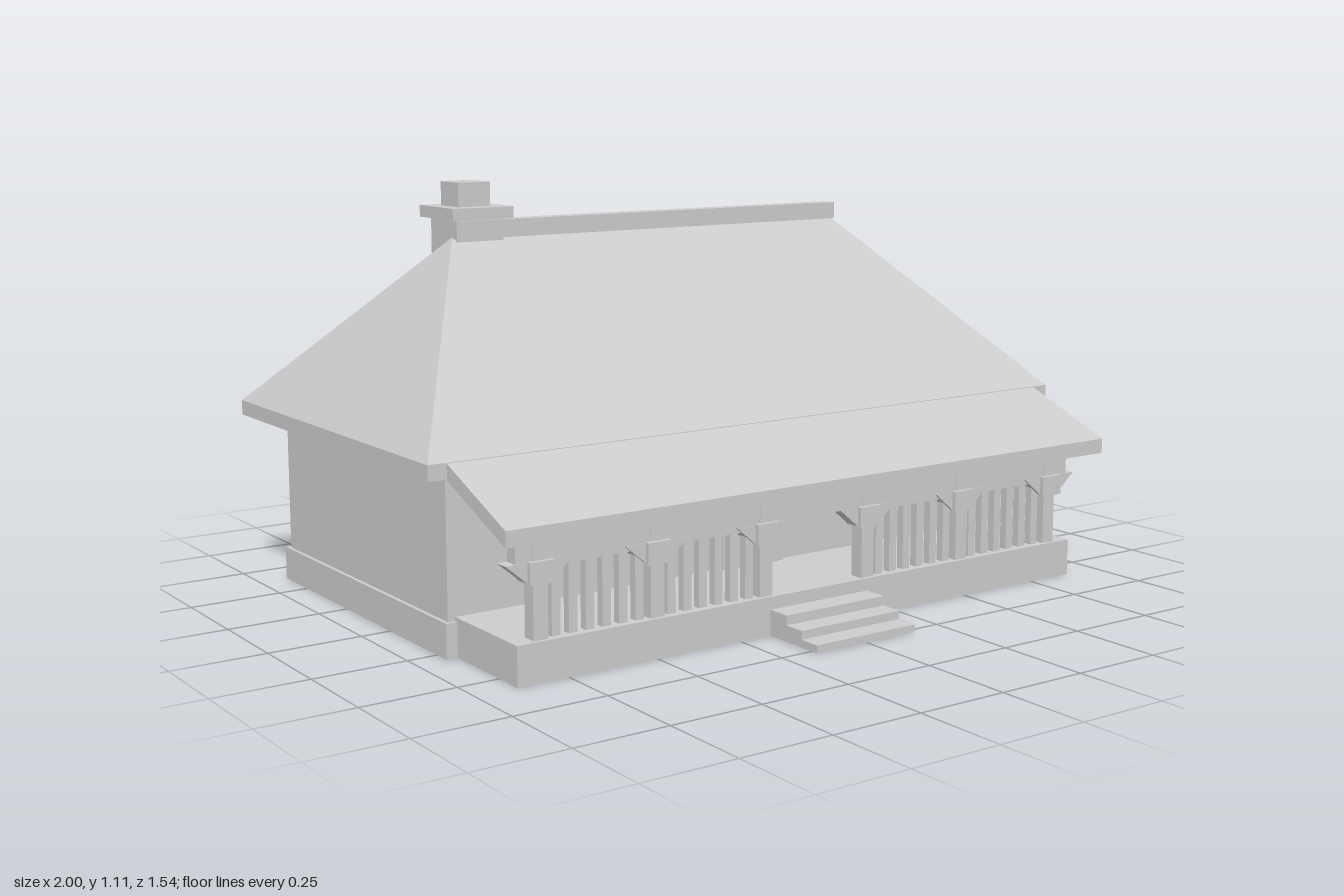
import * as THREE from 'three';

const stone = new THREE.MeshStandardMaterial({ color: 0xcccccc });
stone.name = 'plain grey';

export function createModel() {
  const model = new THREE.Group();
  model.name = 'house';

  const add = (name, geometry, parent = model) => {
    const mesh = new THREE.Mesh(geometry, stone);
    mesh.name = name;
    parent.add(mesh);
    return mesh;
  };
  // Box given by its limits on each axis
  const box = (name, x0, x1, y0, y1, z0, z1, parent) => {
    const g = new THREE.BoxGeometry(x1 - x0, y1 - y0, z1 - z0);
    g.translate((x0 + x1) / 2, (y0 + y1) / 2, (z0 + z1) / 2);
    return add(name, g, parent);
  };
  const polygon = (points) => new THREE.Shape(points.map(([x, y]) => new THREE.Vector2(x, y)));
  const extrude = (shape, depth) => new THREE.ExtrudeGeometry(shape, { depth, bevelEnabled: false });

  // Main body
  box('foundation', -0.92, 0.92, 0, 0.09, -0.635, 0.3);
  box('walls', -0.91, 0.91, 0.09, 0.46, -0.62, 0.29);

  // Hipped roof on an eave slab
  box('eaves', -1, 1, 0.46, 0.5, -0.715, 0.375);
  const a = [-1, 0.5, 0.375], b = [1, 0.5, 0.375], c = [1, 0.5, -0.715], d = [-1, 0.5, -0.715];
  const r0 = [-0.63, 0.97, -0.17], r1 = [0.63, 0.97, -0.17];
  const hip = new THREE.BufferGeometry();
  const faces = [a, b, r1, a, r1, r0, c, d, r0, c, r0, r1, b, c, r1, d, a, r0];
  hip.setAttribute('position', new THREE.Float32BufferAttribute(faces.flat(), 3));
  hip.computeVertexNormals();
  add('hippedRoof', hip);
  box('ridgeCap', -0.63, 0.63, 0.965, 1.012, -0.195, -0.145);

  // Chimney
  const chimney = new THREE.Group();
  chimney.name = 'chimney';
  model.add(chimney);
  box('chimneyShaft', -0.625, -0.485, 0.75, 1.015, -0.295, -0.155, chimney);
  box('chimneyCap', -0.645, -0.465, 1.015, 1.046, -0.32, -0.137, chimney);
  box('chimneyTop', -0.605, -0.51, 1.046, 1.11, -0.275, -0.18, chimney);

  // Porch: floor, steps and sloping roof
  box('porchFloor', -0.89, 0.89, 0, 0.1, 0.29, 0.585);
  [[0.067, 0.65], [0.042, 0.71], [0.02, 0.77]].forEach(([y, z]) =>
    box('porchStep', -0.158, 0.158, 0, y, 0.58, z));
  const slope = extrude(polygon([[-0.645, 0.35], [-0.37, 0.46], [-0.37, 0.5], [-0.645, 0.39]]), 1.9);
  slope.rotateY(Math.PI / 2).translate(-0.95, 0, 0);
  add('porchRoof', slope);
  box('porchBeam', -0.885, 0.885, 0.287, 0.37, 0.537, 0.573);

  // Posts with flared brackets
  const posts = [-0.82, -0.493, -0.165, 0.165, 0.493, 0.82];
  const flare = polygon([[-0.035, 0.24], [0.035, 0.24], [0.092, 0.288], [-0.092, 0.288]]);
  for (const x of posts) {
    box('porchPost', x - 0.02, x + 0.02, 0.1, 0.37, 0.535, 0.575);
    box('postCapital', x - 0.034, x + 0.034, 0.235, 0.29, 0.528, 0.586);
    add('postBracket', extrude(flare, 0.04)).position.set(x, 0, 0.535);
  }

  // Balusters in every bay except the entrance
  for (const bay of [0, 1, 3, 4]) {
    const x0 = posts[bay], x1 = posts[bay + 1];
    box('topRail', x0, x1, 0.272, 0.29, 0.543, 0.567);
    for (let i = 1; i <= 6; i++) {
      const x = x0 + ((x1 - x0) * i) / 7;
      box('baluster', x - 0.012, x + 0.012, 0.1, 0.275, 0.544, 0.566);
    }
  }

  // Front door
  box('doorFrame', -0.1, 0.1, 0.1, 0.45, 0.285, 0.305);
  box('doorPanel', -0.08, 0.08, 0.1, 0.43, 0.3, 0.31);

  // Windows: frame with four panes cut through, and a sill
  const makeWindow = (x, z, height, turn) => {
    const w = new THREE.Group();
    w.name = 'window';
    const frame = polygon([[-0.075, 0], [0.075, 0], [0.075, height], [-0.075, height]]);
    frame.holes.push(new THREE.Path(
      [[-0.055, 0.015], [-0.055, height - 0.02], [0.055, height - 0.02], [0.055, 0.015]]
        .map(([px, py]) => new THREE.Vector2(px, py))));
    add('windowFrame', extrude(frame, 0.02), w);
    const mid = height * 0.55;
    box('mullion', -0.011, 0.011, 0.015, height - 0.02, 0, 0.013, w);
    box('transom', -0.055, 0.055, mid - 0.01, mid + 0.01, 0, 0.012, w);
    box('windowSill', -0.09, 0.09, -0.015, 0.002, 0, 0.037, w);
    w.position.set(x, 0.225, z);
    w.rotation.y = turn;
    model.add(w);
  };
  for (const side of [-1, 1]) {
    makeWindow(side * 0.6, 0.29, 0.225, 0);
    makeWindow(side * 0.41, -0.62, 0.19, Math.PI);
  }

  // Stepped block against the back wall
  for (let i = 0; i < 5; i++) {
    box('backStep', 0.59 + i * 0.011, 0.85 - i * 0.02, i * 0.04, (i + 1) * 0.04 - 0.002 * (i === 4), -0.77, -0.63);
  }

  return model;
}
